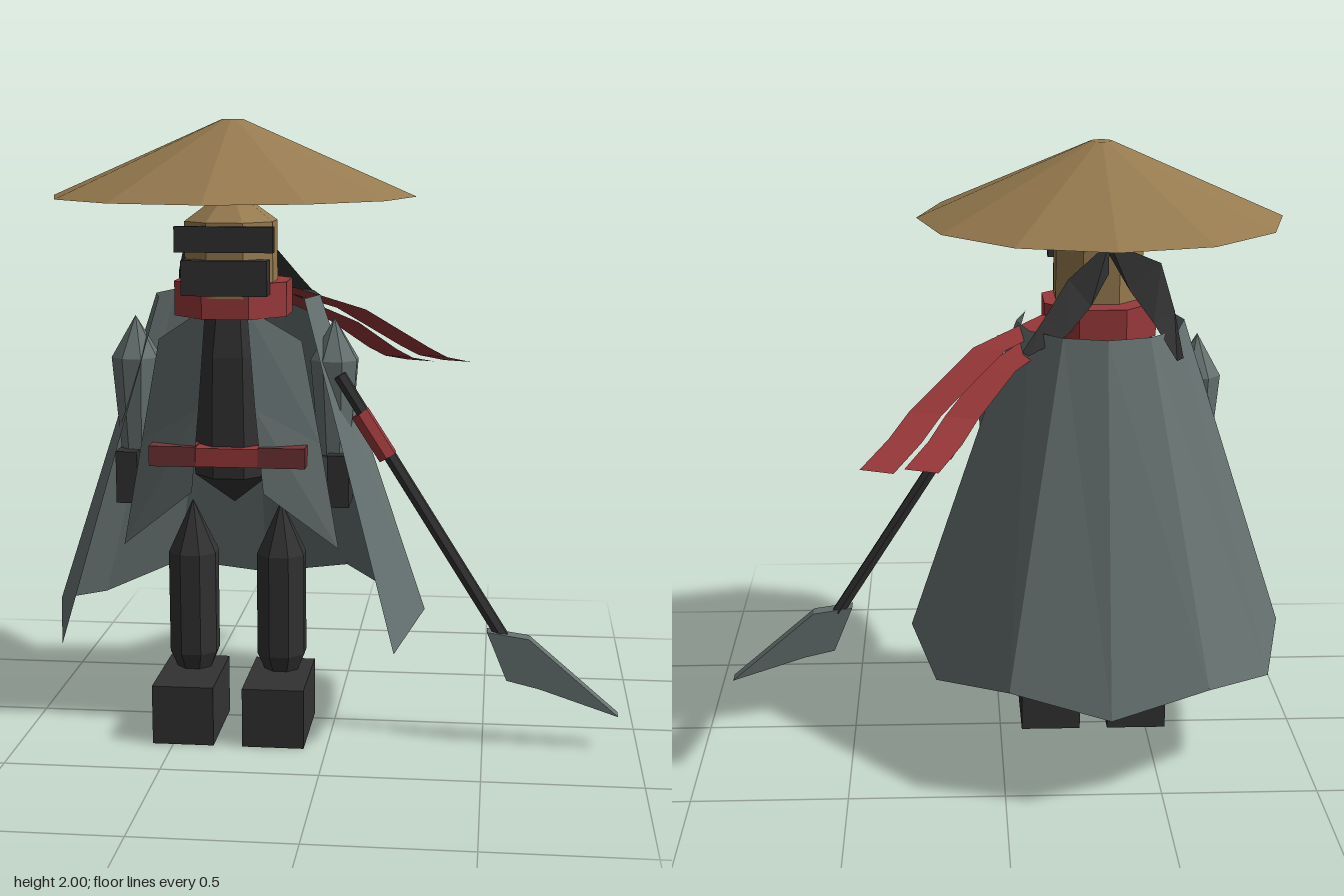
import * as THREE from 'three';

const CX = -0.32; // the figure stands left of the spear

export function createModel() {
  const root = new THREE.Group();
  root.name = 'strawHatWanderer';
  const mat = (name, color, side = THREE.FrontSide) => {
    const m = new THREE.MeshStandardMaterial({ color, side });
    m.name = name;
    return m;
  };
  const straw = mat('straw', 0x977b50);
  const dark = mat('charcoal', 0x323232);
  const darkCloth = mat('charcoalCloth', 0x313131, THREE.DoubleSide);
  const underside = mat('hatShade', 0x222222);
  const grey = mat('slate', 0x667270);
  const greyCloth = mat('slateCloth', 0x657170, THREE.DoubleSide);
  const red = mat('scarfRed', 0x9a393b);
  const redCloth = mat('scarfRedCloth', 0x99383a, THREE.DoubleSide);
  const beltRed = mat('beltRed', 0x743436);

  // Every part is faceted: split the faces and recompute normals
  const add = (name, geo, material, x = 0, y = 0, z = 0) => {
    const g = geo.index ? geo.toNonIndexed() : geo;
    g.computeVertexNormals();
    const mesh = new THREE.Mesh(g, material);
    mesh.name = name;
    mesh.position.set(x, y, z);
    root.add(mesh);
    return mesh;
  };
  const box = (name, material, x0, x1, y0, y1, z0, z1) =>
    add(name, new THREE.BoxGeometry(x1 - x0, y1 - y0, z1 - z0), material,
      (x0 + x1) / 2, (y0 + y1) / 2, (z0 + z1) / 2);

  // Eight-sided turned solid with a flat side facing front; profile is [half width, y]
  const octagon = (name, material, profile, x, z) => {
    const pts = profile.map(([r, y]) => new THREE.Vector2(r / Math.cos(Math.PI / 8), y));
    return add(name, new THREE.LatheGeometry(pts, 8, Math.PI / 8), material, x, 0, z);
  };

  // Ribbon of faces between two rows of points
  const strip = (name, material, a, b) => {
    const pos = [];
    for (let i = 0; i < a.length - 1; i++) {
      pos.push(...a[i], ...b[i], ...b[i + 1], ...a[i], ...b[i + 1], ...a[i + 1]);
    }
    const g = new THREE.BufferGeometry();
    g.setAttribute('position', new THREE.Float32BufferAttribute(pos, 3));
    return add(name, g, material);
  };

  // Rod between two points
  const rod = (name, material, from, to, radius, sides) => {
    const a = new THREE.Vector3(...from), b = new THREE.Vector3(...to);
    const dir = b.clone().sub(a);
    const m = add(name, new THREE.CylinderGeometry(radius, radius, dir.length(), sides), material);
    m.position.copy(a).add(b).multiplyScalar(0.5);
    m.quaternion.setFromUnitVectors(new THREE.Vector3(0, 1, 0), dir.normalize());
  };

  // Hat with shaded underside
  add('hat', new THREE.CylinderGeometry(0.035, 0.585, 0.24, 12, 1, true), straw, CX, 1.88, 0.05);
  add('hatTop', new THREE.CircleGeometry(0.035, 12).rotateX(-Math.PI / 2), straw, CX, 2, 0.05);
  add('hatUnderside', new THREE.CircleGeometry(0.585, 12).rotateX(Math.PI / 2), underside, CX, 1.76, 0.05);

  // Head, brow plate, mask
  octagon('head', straw, [[0, 1.45], [0.14, 1.45], [0.14, 1.685], [0.03, 1.77], [0, 1.77]], CX, 0.1);
  box('browPlate', dark, CX - 0.155, CX + 0.155, 1.595, 1.675, 0.225, 0.26);
  box('mask', dark, CX - 0.135, CX + 0.135, 1.46, 1.57, 0.19, 0.26);

  // Headband tails behind the head
  strip('headbandTailRight', darkCloth,
    [[-0.34, 1.7, -0.065], [-0.5, 1.64, -0.1], [-0.54, 1.5, -0.15], [-0.56, 1.37, -0.24]],
    [[-0.34, 1.66, -0.07], [-0.4, 1.56, -0.13], [-0.47, 1.47, -0.2], [-0.54, 1.36, -0.24]]);
  strip('headbandTailLeft', darkCloth,
    [[-0.34, 1.7, -0.065], [-0.21, 1.59, -0.1], [-0.13, 1.48, -0.17], [-0.06, 1.39, -0.23]],
    [[-0.34, 1.6, -0.07], [-0.28, 1.51, -0.13], [-0.2, 1.43, -0.19], [-0.08, 1.38, -0.24]]);

  // Scarf collar and its two trailing ends
  octagon('scarfCollar', red, [[0, 1.385], [0.18, 1.385], [0.18, 1.495], [0, 1.495]], CX, 0.06);
  const tails = [
    [[-0.2, 1.44, -0.07], [0.01, 1.33, -0.21], [0.13, 1.22, -0.36], [0.18, 1.175, -0.47], [0.25, 1.14, -0.625]],
    [[-0.18, 1.46, -0.05], [0.04, 1.38, -0.15], [0.24, 1.23, -0.345], [0.3, 1.18, -0.46], [0.38, 1.14, -0.625]],
  ];
  for (const path of tails) {
    const edge = s => path.map(([x, y, z]) => [x + s * 0.05, y, z + s * 0.02]);
    strip('scarfTail', redCloth, edge(-1), edge(1));
  }

  // Cloak: two thirds of a twelve-sided cone, open in front, with a zigzag hem
  const ring = (radius, height) => Array.from({ length: 9 }, (_, i) => {
    const t = Math.PI / 6 - i * Math.PI / 6;
    return [CX + radius * Math.cos(t), height(i), -0.02 + radius * Math.sin(t)];
  });
  strip('cloak', greyCloth, ring(0.27, () => 1.44), ring(0.62, i => (i % 2 ? 0.39 : 0.33)));

  // Torso
  octagon('torso', dark,
    [[0, 0.77], [0.12, 0.87], [0.125, 0.98], [0.115, 1.26], [0.09, 1.4], [0, 1.4]], CX, 0.09);

  // Belt
  box('beltCentre', red, CX - 0.1, CX + 0.1, 0.915, 0.975, 0.1, 0.243);

  // Mirrored parts
  for (const s of [-1, 1]) {
    const side = s > 0 ? 'left' : 'right';
    const p = (x, y, z) => [CX + s * x, y, z];
    strip(side + 'Lapel', greyCloth,
      [p(0.065, 1.42, 0.22), p(0.09, 1.1, 0.23), p(0.115, 0.83, 0.235)],
      [p(0.23, 1.31, 0.15), p(0.29, 0.98, 0.16), p(0.35, 0.64, 0.18)]);
    const bx = CX + s * 0.175;
    box(side + 'BeltPouch', beltRed, bx - 0.075, bx + 0.075, 0.915, 0.98, 0.16, 0.247);

    const ax = CX + s * 0.325;
    octagon(side + 'Sleeve', grey,
      [[0, 0.9], [0.05, 0.93], [0.075, 1.24], [0, 1.375]], ax, 0.055);
    box(side + 'Hand', dark, ax + s * 0.02 - 0.035, ax + s * 0.02 + 0.035, 0.77, 0.94, 0, 0.15);

    const lx = CX + s * 0.147;
    octagon(side + 'Leg', dark,
      [[0, 0.18], [0.05, 0.18], [0.078, 0.25], [0.078, 0.59], [0, 0.765]], lx, 0.045);
    box(side + 'Boot', dark, lx - 0.1, lx + 0.1, 0, 0.195, -0.045, 0.285);
  }

  // Spear with wrapped grip and broad blade
  rod('spearShaft', dark, [0.03, 1.2, 0.14], [0.56, 0.36, 0.16], 0.022, 6);
  rod('spearGrip', red, [0.095, 1.08, 0.14], [0.185, 0.94, 0.143], 0.033, 6);
  const blade = new THREE.Shape([[0.51, 0.38], [0.575, 0.22], [0.68, 0.195], [0.935, 0.11], [0.645, 0.36]]
    .map(([x, y]) => new THREE.Vector2(x, y)));
  add('spearBlade', new THREE.ExtrudeGeometry(blade, { depth: 0.05, bevelEnabled: false }), grey, 0, 0, 0.14);

  return root;
}
